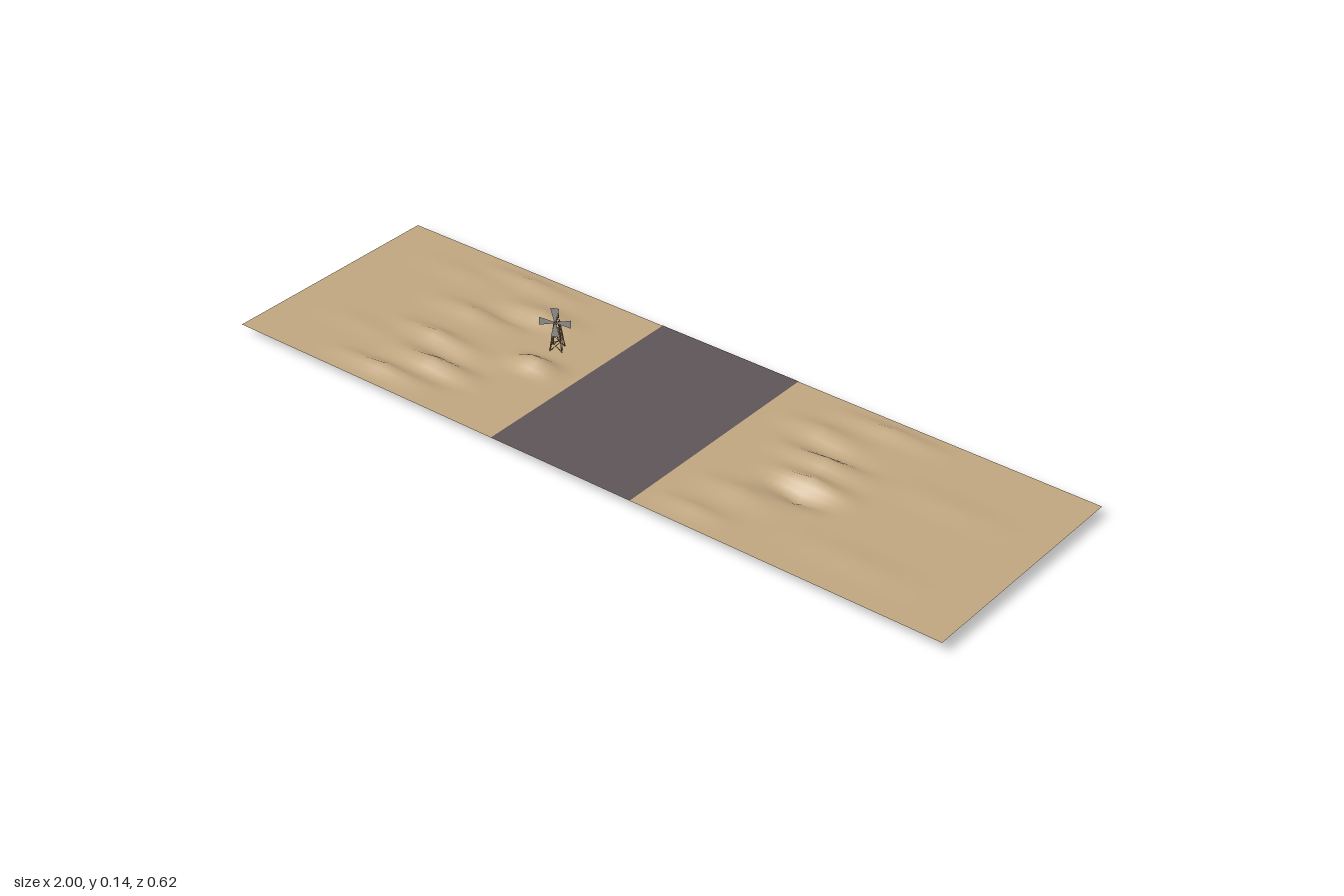
import * as THREE from 'three';

const GROUND_Y = 0.024;

// Dunes and hollows: x, z, height, reach in x, reach in z
const DUNES = [
  [-0.33, 0.02, 0.034, 0.09, 0.045], [-0.6, 0.25, 0.021, 0.18, 0.035],
  [-0.52, 0.16, 0.024, 0.16, 0.04], [-0.6, 0.062, 0.02, 0.16, 0.04],
  [-0.5, 0.108, -0.009, 0.14, 0.04], [-0.46, 0.2, -0.005, 0.12, 0.03],
  [-0.6, -0.07, 0.018, 0.16, 0.045], [-0.46, -0.16, 0.02, 0.14, 0.05],
  [-0.58, -0.26, 0.015, 0.18, 0.035], [-0.52, -0.11, -0.01, 0.12, 0.04],
  [-0.74, 0.13, 0.006, 0.2, 0.05], [-0.74, -0.2, 0.006, 0.18, 0.05],
  [0.46, 0.062, -0.024, 0.12, 0.042], [0.46, 0.015, 0.022, 0.14, 0.04],
  [0.32, 0.25, 0.012, 0.12, 0.035], [0.36, 0.14, 0.014, 0.14, 0.05],
  [0.44, -0.07, 0.02, 0.16, 0.04], [0.42, -0.115, -0.012, 0.14, 0.04],
  [0.36, -0.17, 0.014, 0.14, 0.045], [0.48, -0.26, 0.016, 0.18, 0.035],
  [0.7, 0.19, 0.006, 0.22, 0.06], [0.74, -0.1, 0.006, 0.22, 0.06],
];

const tent = (d, reach) => Math.max(0, 1 - Math.abs(d) / reach);

function duneHeight(x, z) {
  return DUNES.reduce((y, [cx, cz, h, rx, rz]) => y + h * tent(x - cx, rx) * tent(z - cz, rz), 0);
}

// Round strut between two points
function strut(a, b, radius, material, name) {
  const dir = b.clone().sub(a);
  const mesh = new THREE.Mesh(new THREE.CylinderGeometry(radius, radius, dir.length(), 4), material);
  mesh.position.copy(a).add(b).multiplyScalar(0.5);
  mesh.quaternion.setFromUnitVectors(new THREE.Vector3(0, 1, 0), dir.normalize());
  mesh.name = name;
  return mesh;
}

// Flat vane widening along +y
function vaneGeometry(start, end, w0, w1) {
  const shape = new THREE.Shape([
    new THREE.Vector2(-w0 / 2, start), new THREE.Vector2(w0 / 2, start),
    new THREE.Vector2(w1 / 2, end), new THREE.Vector2(-w1 / 2, end),
  ]);
  return new THREE.ShapeGeometry(shape);
}

export function createModel() {
  const sand = new THREE.MeshStandardMaterial({ color: 0xc0a680, side: THREE.DoubleSide });
  sand.name = 'sand';
  const asphalt = new THREE.MeshStandardMaterial({ color: 0x5e5559 });
  asphalt.name = 'asphalt';
  const wood = new THREE.MeshStandardMaterial({ color: 0x94795a });
  wood.name = 'wood';
  const metal = new THREE.MeshStandardMaterial({ color: 0x9b9a98, side: THREE.DoubleSide });
  metal.name = 'metal';
  const rust = new THREE.MeshStandardMaterial({ color: 0x6e6359, side: THREE.DoubleSide });
  rust.name = 'tailMetal';

  const model = new THREE.Group();
  model.name = 'desertRoad';

  // Rolling sand
  const groundGeo = new THREE.PlaneGeometry(2, 0.62, 100, 40).rotateX(-Math.PI / 2);
  const pos = groundGeo.attributes.position;
  for (let i = 0; i < pos.count; i++) {
    pos.setY(i, GROUND_Y + duneHeight(pos.getX(i), pos.getZ(i)));
  }
  groundGeo.computeVertexNormals();
  const ground = new THREE.Mesh(groundGeo, sand);
  ground.name = 'ground';
  model.add(ground);

  // Road strip lying on the flat middle
  const road = new THREE.Mesh(new THREE.PlaneGeometry(0.4, 0.62).rotateX(-Math.PI / 2), asphalt);
  road.position.set(-0.012, GROUND_Y + 0.001, 0);
  road.name = 'road';
  model.add(road);

  // Wind pump, turned slightly towards the road
  const pump = new THREE.Group();
  pump.name = 'windPump';
  pump.position.set(-0.342, GROUND_Y, -0.075);
  pump.rotation.y = THREE.MathUtils.degToRad(25);
  model.add(pump);

  // Tapered lattice tower
  const towerTop = 0.076;
  const corner = (i, y) => {
    const half = THREE.MathUtils.lerp(0.0145, 0.005, y / towerTop);
    const a = Math.PI / 4 + (i * Math.PI) / 2;
    return new THREE.Vector3(Math.cos(a), 0, Math.sin(a)).multiplyScalar(half * Math.SQRT2).setY(y);
  };
  const levels = [0, 0.026, 0.052, towerTop];
  for (let i = 0; i < 4; i++) {
    pump.add(strut(corner(i, 0), corner(i, towerTop), 0.0013, wood, 'towerLeg'));
    for (let k = 0; k < 3; k++) {
      const [lo, hi] = [levels[k], levels[k + 1]];
      pump.add(strut(corner(i, hi), corner(i + 1, hi), 0.0009, wood, 'towerRail'));
      pump.add(strut(corner(i, lo), corner(i + 1, hi), 0.0008, wood, 'towerBrace'));
      pump.add(strut(corner(i + 1, lo), corner(i, hi), 0.0008, wood, 'towerBrace'));
    }
  }

  // Axle carrying the rotor and the tail
  const axleY = 0.08;
  pump.add(strut(new THREE.Vector3(0, axleY, -0.012), new THREE.Vector3(0, axleY, 0.017), 0.0016, rust, 'axle'));
  const rotor = new THREE.Group();
  rotor.name = 'rotor';
  rotor.position.set(0, axleY, 0.016);
  const bladeGeo = vaneGeometry(0.002, 0.039, 0.004, 0.022);
  for (let i = 0; i < 4; i++) {
    const blade = new THREE.Mesh(bladeGeo, metal);
    blade.rotation.z = (i * Math.PI) / 2;
    blade.name = 'blade';
    rotor.add(blade);
  }
  pump.add(rotor);

  // Upright tail fin pointing backwards
  const tail = new THREE.Mesh(vaneGeometry(0.004, 0.021, 0.002, 0.016).rotateZ(Math.PI / 2).rotateY(-Math.PI / 2), rust);
  tail.position.y = axleY;
  tail.name = 'tailFin';
  pump.add(tail);

  return model;
}
